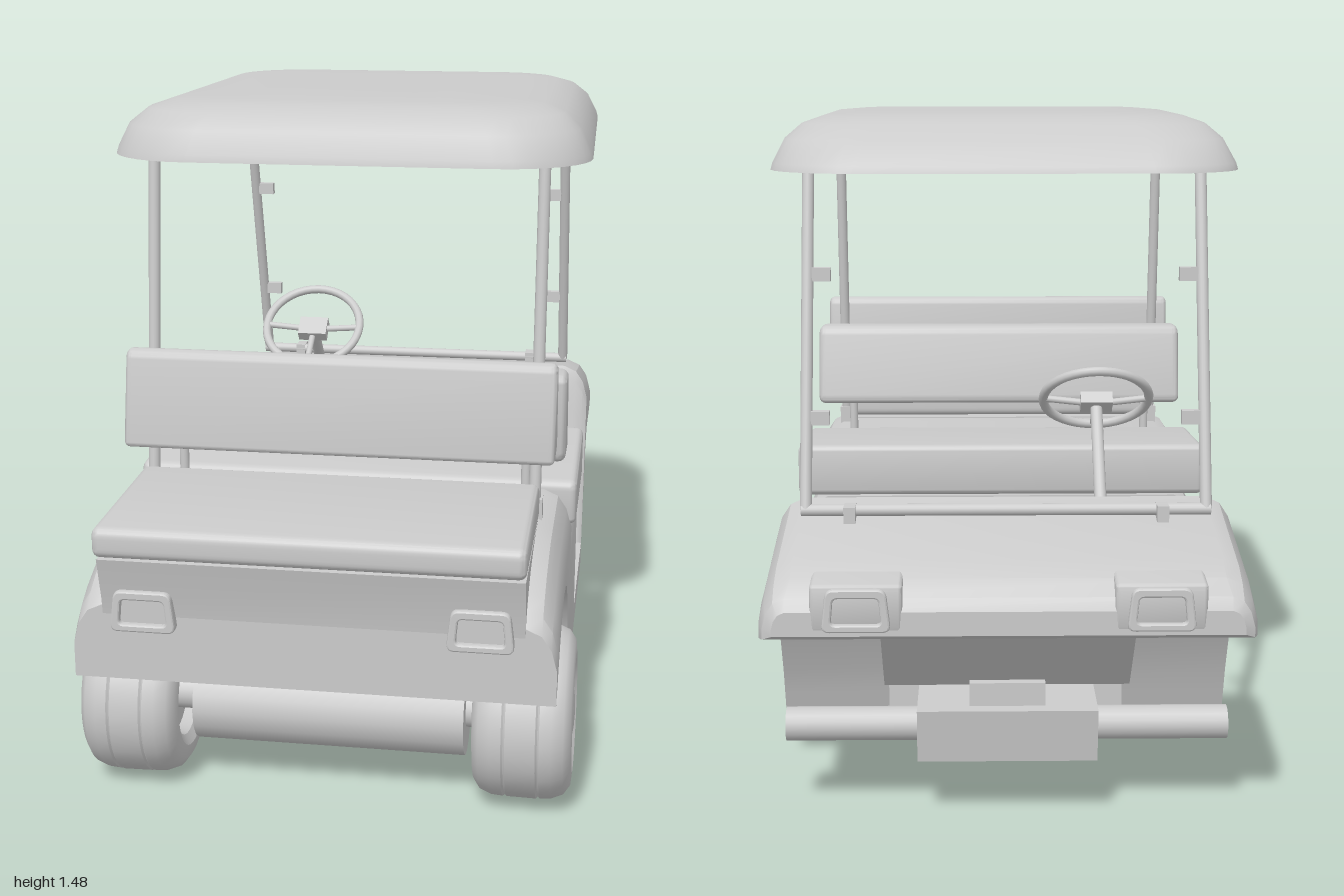
import * as THREE from 'three';
import { toCreasedNormals } from 'three/addons/utils/BufferGeometryUtils.js';

const grey = new THREE.MeshStandardMaterial({ color: 0xcccccc });
const thin = new THREE.MeshStandardMaterial({ color: 0xcccccc, side: THREE.DoubleSide });
const V = (x, y, z) => new THREE.Vector3(x, y, z);

export function createModel() {
  const model = new THREE.Group();
  const add = (name, geo, parent = model, mat = grey) => {
    const m = new THREE.Mesh(geo, mat);
    m.name = name;
    parent.add(m);
    return m;
  };
  const box = (name, w, h, d, x, y, z, parent) => {
    const m = add(name, new THREE.BoxGeometry(w, h, d), parent);
    m.position.set(x, y, z);
    return m;
  };
  const rod = (name, a, b, r, parent) => {
    const m = add(name, new THREE.CylinderGeometry(r, r, a.distanceTo(b), 16), parent);
    m.position.copy(a).lerp(b, 0.5);
    m.quaternion.setFromUnitVectors(V(0, 1, 0), b.clone().sub(a).normalize());
    return m;
  };

  // Polygon with rounded corners
  const roundShape = (pts, r) => {
    const s = new THREE.Shape(), n = pts.length;
    const p = pts.map(([x, y]) => new THREE.Vector2(x, y));
    p.forEach((c, i) => {
      const toward = q => c.clone().add(q.clone().sub(c).setLength(r));
      const a = toward(p[(i + n - 1) % n]), b = toward(p[(i + 1) % n]);
      if (i) s.lineTo(a.x, a.y); else s.moveTo(a.x, a.y);
      s.quadraticCurveTo(c.x, c.y, b.x, b.y);
    });
    s.closePath();
    return s;
  };

  // Side profile of [z, y] points, extruded across x
  const prism = (name, pts, width, r = 0, x = 0) => {
    const shape = r ? roundShape(pts, r) : new THREE.Shape(pts.map(p => new THREE.Vector2(...p)));
    const b = r * 0.7;
    const geo = new THREE.ExtrudeGeometry(shape, {
      depth: width - 2 * b, curveSegments: 6, bevelEnabled: r > 0,
      bevelSize: b, bevelThickness: b, bevelOffset: -b, bevelSegments: 4,
    });
    geo.rotateY(-Math.PI / 2).translate(x + width / 2 - b, 0, 0);
    return add(name, toCreasedNormals(geo, 0.6));
  };

  // Skin over equal-length loops, with closed ends
  const loft = (rings, crease) => {
    const n = rings[0].length, idx = [], last = (rings.length - 1) * n;
    for (let i = 0; i < rings.length - 1; i++) for (let j = 0; j < n; j++) {
      const a = i * n + j, b = i * n + (j + 1) % n;
      idx.push(a, b, b + n, a, b + n, a + n);
    }
    for (let j = 1; j < n - 1; j++) idx.push(0, j + 1, j, last, last + j, last + j + 1);
    const geo = new THREE.BufferGeometry().setFromPoints(rings.flat());
    geo.setIndex(idx);
    return toCreasedNormals(geo, crease);
  };
  // Body section: upright sides with rounded shoulders
  const section = ([z, bottom, top, w = 0.505]) => {
    const k = Math.min(1, (top - bottom) / 0.12);
    const half = [[0, null], [0, 0.09], [0.012, 0.045], [0.032, 0.015], [0.065, 0]]
      .map(([dx, dy]) => [w - dx * k, dy === null ? bottom : top - dy * k]);
    return [...half.map(([x, y]) => V(x, y, z)), ...half.reverse().map(([x, y]) => V(-x, y, z))];
  };

  // Rear body with wheel arches, seat base included
  add('rearBody', loft([
    [0, 0.09, 0.505], [0.36, 0.09, 0.505], [0.365, 0.09, 0.59], [0.38, 0.15, 0.592],
    [0.41, 0.25, 0.592], [0.45, 0.325, 0.592], [0.5, 0.385, 0.592], [0.55, 0.425, 0.592],
    [0.61, 0.448, 0.592], [0.68, 0.455, 0.59], [0.75, 0.442, 0.58], [0.82, 0.41, 0.565],
    [0.88, 0.37, 0.54], [0.92, 0.338, 0.515], [0.945, 0.32, 0.485],
  ].map(section), 0.5));
  prism('rearDeck', [[0.6, 0.595], [0.975, 0.595], [0.95, 0.5], [0.94, 0.43], [0.6, 0.46]], 0.88);
  box('rearFrame', 0.52, 0.17, 0.45, 0, 0.36, 0.59);

  // Floor, front cowl and its inner core
  box('floor', 1.01, 0.06, 0.47, 0, 0.12, -0.235);
  add('frontCowl', loft([
    [-0.985, 0.45, 0.5, 0.475], [-0.97, 0.44, 0.525, 0.495], [-0.935, 0.432, 0.555], [-0.88, 0.43, 0.578],
    [-0.68, 0.43, 0.617], [-0.64, 0.415, 0.625], [-0.6, 0.385, 0.633], [-0.575, 0.34, 0.638],
    [-0.563, 0.32, 0.61], [-0.55, 0.295, 0.53], [-0.51, 0.215, 0.335], [-0.49, 0.16, 0.24], [-0.465, 0.09, 0.15],
  ].map(section), 0.5));
  prism('frontCore', [[-0.46, 0.14], [-0.6, 0.14], [-0.6, 0.23], [-0.64, 0.28], [-0.79, 0.28],
    [-0.93, 0.435], [-0.6, 0.44], [-0.5, 0.25]], 0.52);

  // Seats and backrests
  prism('rearSeat', [[0.595, 0.6], [0.595, 0.68], [1, 0.67], [1, 0.605]].reverse(), 0.885, 0.022);
  prism('rearBackrest', [[0.538, 0.74], [0.648, 0.73], [0.605, 0.945], [0.565, 0.945]], 0.95, 0.02);
  prism('frontSeat', [[0, 0.505], [0.378, 0.505], [0.378, 0.61], [0, 0.635]], 1.03, 0.022);
  prism('frontBackrest', [[0.34, 0.68], [0.46, 0.68], [0.478, 0.885], [0.385, 0.888]], 0.98, 0.025);

  // Canopy: rounded-rectangle loops of [y, zMin, zMax, halfWidth, cornerRadius]
  const canopyRing = ([y, z0, z1, w, r]) => {
    const loop = [];
    for (let q = 0; q < 4; q++) for (let i = 0; i <= 8; i++) {
      const t = (q + i / 8) * Math.PI / 2;
      const cz = q === 0 || q === 3 ? z1 - r : z0 + r, cx = q < 2 ? w - r : r - w;
      const z = cz + r * Math.cos(t), x = cx + r * Math.sin(t);
      loop.push(V(x * (0.985 + 0.035 * z), y + 0.008 * z, z));
    }
    return loop;
  };
  const canopy = loft([
    [1.44, -0.44, 0.44, 0.38, 0.12], [1.425, -0.53, 0.53, 0.46, 0.17], [1.355, -0.645, 0.585, 0.515, 0.19],
    [1.355, -0.66, 0.6, 0.53, 0.2], [1.37, -0.655, 0.597, 0.526, 0.2], [1.42, -0.585, 0.575, 0.503, 0.19],
    [1.452, -0.52, 0.53, 0.467, 0.175], [1.468, -0.46, 0.48, 0.42, 0.16], [1.474, -0.38, 0.42, 0.35, 0.13],
    [1.477, -0.2, 0.24, 0.2, 0.08],
  ].map(canopyRing), 0.7);
  add('canopy', canopy, model, thin);

  // Paired parts
  const wheelProfile = [[0, -0.07], [0.1, -0.07], [0.108, -0.095], [0.13, -0.107], [0.158, -0.104], [0.178, -0.09],
    [0.188, -0.065], [0.19, -0.04], [0.186, -0.036], [0.19, -0.032], [0.191, 0.032], [0.186, 0.036], [0.19, 0.04],
    [0.188, 0.065], [0.178, 0.09], [0.158, 0.104], [0.13, 0.107], [0.108, 0.095], [0.104, 0.085], [0.1, 0.09],
    [0.07, 0.1], [0.035, 0.106], [0, 0.108]].map(p => new THREE.Vector2(...p));
  const bezelShape = roundShape([[-0.07, -0.045], [0.07, -0.045], [0.06, 0.045], [-0.06, 0.045]], 0.018);
  bezelShape.holes.push(roundShape([[-0.05, -0.028], [0.05, -0.028], [0.045, 0.025], [-0.045, 0.025]], 0.01));
  const bezelGeo = new THREE.ExtrudeGeometry(bezelShape, {
    depth: 0.02, bevelSize: 0.004, bevelThickness: 0.006, bevelOffset: -0.004, bevelSegments: 2,
  });
  const lamp = (name, x, y, z, back) => {
    const g = new THREE.Group();
    g.name = name;
    add('bezel', bezelGeo, g);
    box('lens', 0.11, 0.06, 0.012, 0, 0, 0.006, g);
    g.position.set(x, y, z);
    if (back) g.rotation.y = Math.PI;
    model.add(g);
  };
  for (const s of [1, -1]) {
    const wheel = add('rearWheel', toCreasedNormals(new THREE.LatheGeometry(wheelProfile, 40), 0.6));
    wheel.rotation.z = -s * Math.PI / 2;
    wheel.position.set(s * 0.428, 0.187, 0.685);
    lamp('tailLamp', s * 0.35, 0.48, 0.942, false);
    prism('headlampHousing', [[-0.78, 0.58], [-0.99, 0.555], [-0.985, 0.455], [-0.8, 0.45]].reverse(), 0.185, 0.012, s * 0.305);
    lamp('headLamp', s * 0.305, 0.505, -0.972, true);

    // Canopy frame
    const foot = V(s * 0.43, 0.635, -0.68), head = V(s * 0.43, 1.37, -0.47);
    rod('frontPost', foot, head, 0.013);
    rod('rearPost', V(s * 0.43, 0.59, 0.568), V(s * 0.43, 1.37, 0.475), 0.013);
    box('rearPostFoot', 0.035, 0.05, 0.035, s * 0.43, 0.61, 0.565);
    for (const t of [0.26, 0.67]) {
      const p = foot.clone().lerp(head, t);
      box('windscreenClip', 0.04, 0.03, 0.02, s * 0.4, p.y, p.z);
    }
    box('frameMount', 0.025, 0.035, 0.045, s * 0.335, 0.63, -0.69);

    // Backrest supports
    rod('backrestPost', V(s * 0.4, 0.58, 0.412), V(s * 0.4, 0.72, 0.412), 0.011);
    rod('backrestBracket', V(s * 0.43, 0.82, 0.52), V(s * 0.43, 0.82, 0.58), 0.012);
  }
  rod('frontFrameBar', V(-0.44, 0.635, -0.68), V(0.44, 0.635, -0.68), 0.013);

  // Rear drive housing and axles
  rod('driveHousing', V(-0.3, 0.17, 0.685), V(0.3, 0.17, 0.685), 0.095);
  rod('rearAxle', V(-0.36, 0.18, 0.685), V(0.36, 0.18, 0.685), 0.042);
  rod('frontAxle', V(-0.47, 0.19, -0.775), V(0.47, 0.19, -0.775), 0.036);
  prism('axleBlock', [[-0.84, 0.128], [-0.71, 0.128], [-0.688, 0.245], [-0.858, 0.245]], 0.38);
  box('axleNeck', 0.16, 0.06, 0.1, 0, 0.265, -0.775);

  // Steering wheel, column and pedals
  const steering = new THREE.Group();
  steering.name = 'steeringWheel';
  add('rim', new THREE.TorusGeometry(0.125, 0.011, 10, 40), steering);
  for (const a of [0, Math.PI, -Math.PI / 2])
    rod('spoke', V(0, 0, -0.015), V(0.122 * Math.cos(a), 0.122 * Math.sin(a), 0), 0.008, steering);
  box('hub', 0.075, 0.055, 0.03, 0, 0, -0.012, steering);
  steering.position.set(-0.22, 0.803, -0.265);
  steering.rotation.x = -Math.atan2(0.77, 0.64);
  model.add(steering);
  rod('steeringColumn', V(-0.22, 0.79, -0.275), V(-0.22, 0.48, -0.55), 0.014);
  for (const x of [-0.29, -0.15]) {
    const pedal = box('pedal', 0.07, 0.01, 0.14, x, 0.185, -0.34);
    pedal.rotation.x = 0.18;
    box('pedalStem', 0.025, 0.04, 0.04, x, 0.165, -0.355);
  }
  return model;
}
